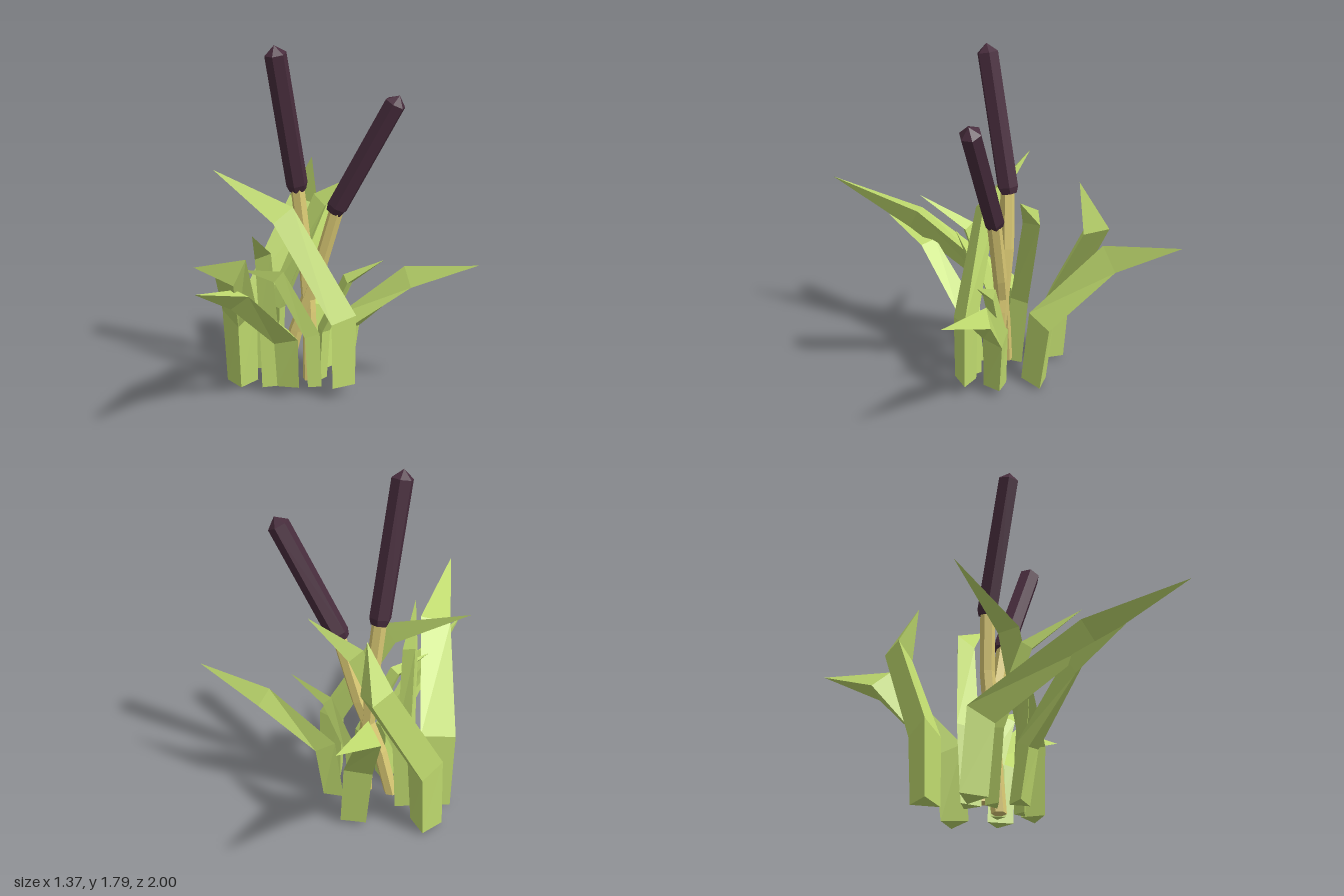
import * as THREE from 'three';

const V = (x, y, z) => new THREE.Vector3(x, y, z);

// Skin a stack of rings; a ring with one point closes to a tip, a wider end gets a cap
function loft(rings) {
  const pos = [];
  const tri = (a, b, c) => [a, b, c].forEach(p => pos.push(p.x, p.y, p.z));
  const n = rings[0].length;
  for (let k = 1; k < rings.length; k++) {
    const a = rings[k - 1], b = rings[k];
    for (let i = 0; i < n; i++) {
      const j = (i + 1) % n;
      if (b.length === 1) {
        tri(a[i], a[j], b[0]);
      } else {
        tri(a[i], a[j], b[j]);
        tri(a[i], b[j], b[i]);
      }
    }
  }
  const first = rings[0], last = rings[rings.length - 1];
  for (let i = 1; i < n - 1; i++) {
    tri(first[0], first[i + 1], first[i]);
    if (last.length > 1) tri(last[0], last[i], last[i + 1]);
  }
  const geo = new THREE.BufferGeometry();
  geo.setAttribute('position', new THREE.Float32BufferAttribute(pos, 3));
  geo.computeVertexNormals();
  return geo;
}

// Place a 2D section at a path point, with its second axis turned towards "facing"
function ringAt(p, tangent, facing, section) {
  const u = facing.clone().cross(tangent).normalize();
  const v = tangent.clone().cross(u).normalize();
  return section.map(([a, b]) => p.clone().addScaledVector(u, a).addScaledVector(v, b));
}

const tangentAt = (pts, i) => i === 0 ? V(0, 1, 0)
  : pts[i].clone().sub(pts[i - 1]).normalize()
    .add(pts[Math.min(i + 1, pts.length - 1)].clone().sub(pts[i]).normalize()).normalize();

// Blade: three-sided, with one flat face turned towards "facing" and a pointed end
function bladeGeometry(path, facing, width) {
  const pts = path.map(p => V(...p));
  const f = V(facing[0], 0, facing[1]).normalize();
  const scale = [0.95, 1.05, 0.95];
  const rings = scale.map((s, i) => {
    const w = width * s;
    const section = [[w / 2, 0.23 * w], [-w / 2, 0.23 * w], [0, -0.47 * w]];
    return ringAt(pts[i], tangentAt(pts, i), f, section);
  });
  return loft([...rings, [pts[3]]]);
}

// Six-sided stalk
function stalkGeometry(path, r) {
  const pts = path.map(p => V(...p));
  const hex = Array.from({ length: 6 }, (_, i) => [r * Math.cos(i * Math.PI / 3), r * Math.sin(i * Math.PI / 3)]);
  return loft(pts.map((p, i) => ringAt(p, tangentAt(pts, i), V(0, 0, 1), hex)));
}

export function createModel() {
  const group = new THREE.Group();
  const material = (name, color) => {
    const m = new THREE.MeshStandardMaterial({ color, flatShading: true });
    m.name = name;
    return m;
  };
  const leafGreen = material('leaf green', 0xbfda6e);
  const stalkTan = material('stalk tan', 0xdccb75);
  const headBrown = material('head brown', 0x482d3d);
  const add = (name, geo, mat) => {
    const mesh = new THREE.Mesh(geo, mat);
    mesh.name = name;
    group.add(mesh);
    return mesh;
  };

  // Leaves: base, bend, upper bend, tip; flat face direction (x, z); width
  const leaves = [
    ['frontLeftLongLeaf', [[-0.54, 0, -0.01], [-0.54, 0.38, 0.02], [-0.41, 0.77, 0.5], [-0.4, 0.93, 1]], [-0.25, -0.97], 0.17],
    ['backTallLeaf', [[-0.54, 0.01, -0.24], [-0.53, 0.36, -0.26], [-0.34, 0.89, -0.53], [-0.28, 1.14, -0.46]], [0.05, 1], 0.17],
    ['backLongLeaf', [[-0.19, 0.02, -0.28], [-0.22, 0.36, -0.31], [-0.33, 0.73, -0.63], [-0.28, 0.865, -1]], [0.85, 0.5], 0.16],
    ['frontCrossingLeaf', [[0.01, 0.06, 0.04], [0.01, 0.41, 0.04], [-0.29, 0.93, 0.05], [-0.69, 1.13, -0.05]], [0.7, 0.7], 0.14],
    ['sideLongLeaf', [[-0.03, 0.04, -0.12], [0.01, 0.34, -0.14], [0.32, 0.59, -0.18], [0.68, 0.7, -0.12]], [-0.8, 0.6], 0.13],
    ['backCrossingLeaf', [[-0.39, 0.02, -0.1], [-0.38, 0.4, -0.13], [-0.17, 0.95, -0.26], [0.06, 1.12, -0.27]], [-0.6, 0.8], 0.11],
    ['frontLowLeaf', [[-0.25, 0.05, 0.09], [-0.25, 0.32, 0.13], [-0.4, 0.61, 0.43], [-0.51, 0.71, 0.72]], [0.05, 1], 0.12],
    ['frontShortLeaf', [[-0.38, 0.01, 0.02], [-0.38, 0.37, 0.04], [-0.36, 0.77, 0.18], [-0.32, 0.93, 0.44]], [0.5, 0.85], 0.09],
    ['smallFrontLeaf', [[-0.13, 0.04, 0.04], [-0.14, 0.32, 0.05], [-0.29, 0.65, 0.14], [-0.43, 0.71, 0.28]], [0.4, 1], 0.075],
    ['smallSideLeaf', [[-0.13, 0.04, -0.08], [-0.12, 0.3, -0.1], [0.01, 0.58, -0.1], [0.2, 0.7, -0.1]], [-0.8, 0.5], 0.075],
  ];
  for (const [name, path, facing, width] of leaves) add(name, bladeGeometry(path, facing, width), leafGreen);

  // Stalks, which cross near the ground
  add('tallStalk', stalkGeometry([[-0.18, 0.04, -0.05], [-0.19, 0.4, -0.08], [-0.22, 0.75, -0.1], [-0.255, 1.1, -0.085]], 0.037), stalkTan);
  add('leaningStalk', stalkGeometry([[-0.32, 0.05, -0.06], [-0.26, 0.3, -0.07], [-0.15, 0.6, -0.09], [-0.035, 0.99, -0.095]], 0.037), stalkTan);

  // Seed heads: six-sided, with a narrowed foot and pointed cap
  const heads = [
    ['tallSeedHead', V(-0.25, 1.04, -0.095), V(-0.32, 1.79, 0.06)],
    ['leaningSeedHead', V(-0.06, 0.935, -0.095), V(0.275, 1.545, -0.09)],
  ];
  for (const [name, foot, tip] of heads) {
    const axis = tip.clone().sub(foot), len = axis.length();
    const profile = [[0, 0], [0.044, 0], [0.056, 0.035], [0.056, len - 0.045], [0, len]];
    const geo = new THREE.LatheGeometry(profile.map(p => new THREE.Vector2(...p)), 6);
    const head = add(name, geo, headBrown);
    head.position.copy(foot);
    head.quaternion.setFromUnitVectors(V(0, 1, 0), axis.normalize());
  }
  return group;
}
